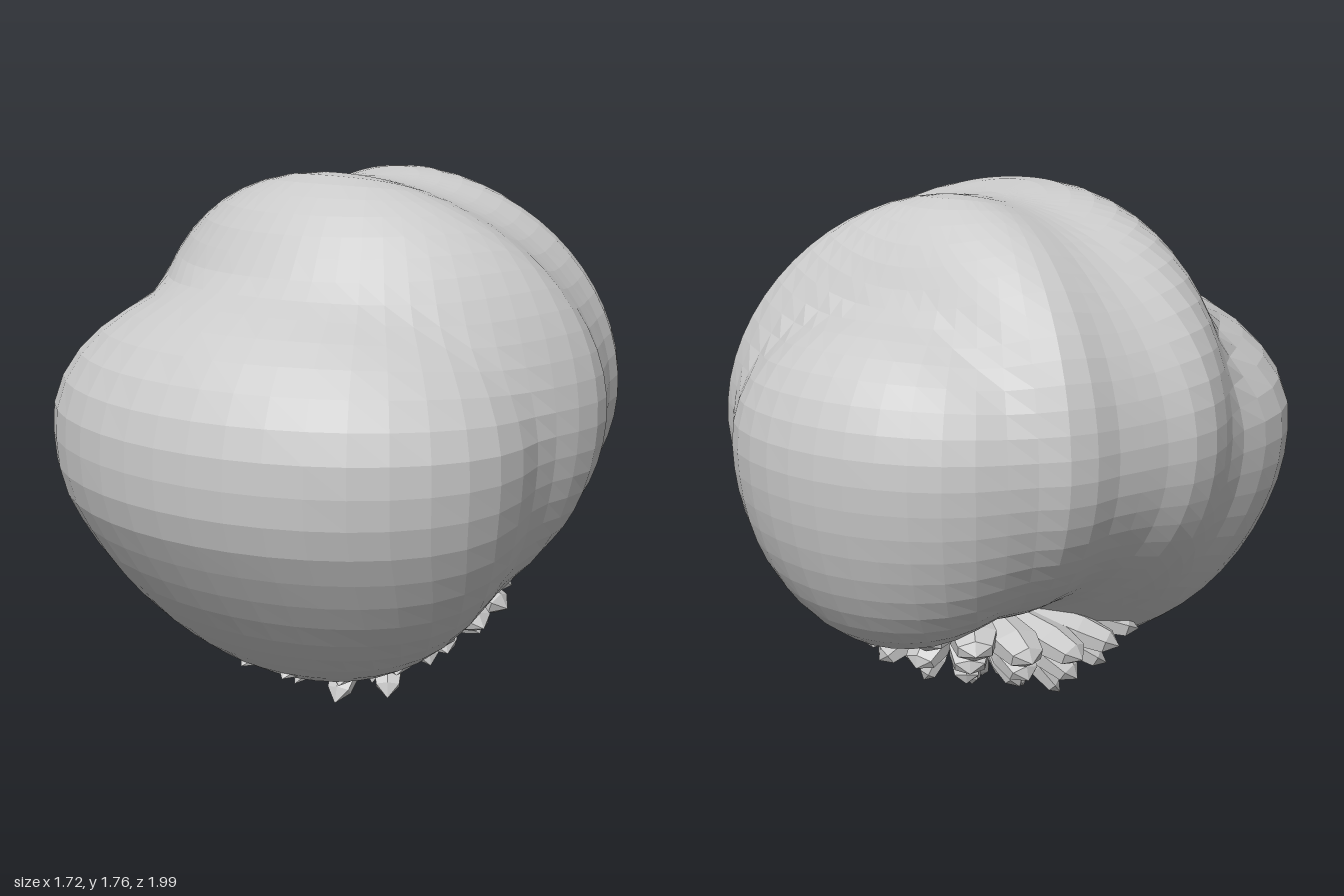
import * as THREE from 'three';

const grey = new THREE.MeshStandardMaterial({ color: 0xcacaca, flatShading: true });
grey.name = 'plain grey';

// Lobes: centre height, centre z, backward bend at the sides, radii (x, up, down, z)
const lobes = [
  { y: 0.98, z: 0.38, bend: 0.0, rx: 0.85, up: 0.49, down: 0.85, rz: 0.62 },    // front
  { y: 1.05, z: 0.16, bend: 0.26, rx: 0.86, up: 0.73, down: 0.78, rz: 0.48 },   // crown
  { y: 1.05, z: -0.09, bend: 0.22, rx: 0.74, up: 0.67, down: 0.62, rz: 0.36 },  // saddle
  { y: 1.05, z: -0.28, bend: 0.22, rx: 0.69, up: 0.72, down: 0.65, rz: 0.4 },   // rear crown
  { y: 1.03, z: -0.6, bend: 0.0, rx: 0.55, up: 0.42, down: 0.64, rz: 0.39 },    // back
];
const hub = new THREE.Vector3(0, 0.46, -0.19);

// Smooth union of the lobes, hollowed below by a shallow cone around the hub; positive inside
function field(p) {
  const k = 15;
  let sum = 0;
  for (const l of lobes) {
    const u = p.x / l.rx;
    const dy = p.y - l.y;
    const q = Math.hypot(u, dy / (dy > 0 ? l.up : l.down), (p.z - l.z + l.bend * Math.min(u * u, 1.5)) / l.rz);
    sum += Math.exp(k * (1 - q));
  }
  const underside = hub.y - 0.3 * Math.hypot(p.x, p.z - hub.z) - 0.12 * (p.z - hub.z);
  return Math.min(Math.log(sum) / k, p.y - underside);
}

// Sphere whose vertices are pushed out along rays to the lobed surface
function bodyGeometry() {
  const geo = new THREE.SphereGeometry(1, 56, 36);
  const pos = geo.attributes.position;
  const centre = new THREE.Vector3(0, 0.95, -0.1);
  const dir = new THREE.Vector3(), p = new THREE.Vector3();
  for (let i = 0; i < pos.count; i++) {
    dir.fromBufferAttribute(pos, i).normalize();
    let far = 1.5;
    while (far > 0.1 && field(p.copy(centre).addScaledVector(dir, far)) < 0) far -= 0.03;
    let near = far;
    far += 0.03;
    for (let n = 0; n < 12; n++) {
      const mid = (near + far) / 2;
      if (field(p.copy(centre).addScaledVector(dir, mid)) > 0) near = mid; else far = mid;
    }
    p.copy(centre).addScaledVector(dir, near);
    // draw the lower front in under the body
    if (p.z > 0 && p.y < 0.8) p.z *= 1 - 0.33 * (0.8 - p.y);
    pos.setXYZ(i, p.x, p.y, p.z);
  }
  geo.computeVertexNormals();
  return geo;
}

// Faceted leaf from root to tip
const leaf = new THREE.LatheGeometry(
  [[0, 0], [0.6, 0.35], [1, 0.74], [0.75, 0.92], [0, 1]].map(([x, y]) => new THREE.Vector2(x, y)), 6);

function petal(root, tip, width, thick) {
  const m = new THREE.Mesh(leaf, grey);
  m.name = 'petal';
  const y = tip.clone().sub(root);
  const length = y.length();
  y.normalize();
  const x = new THREE.Vector3().crossVectors(y, new THREE.Vector3(0, 1, 0)).normalize();
  const z = new THREE.Vector3().crossVectors(x, y);
  m.quaternion.setFromRotationMatrix(new THREE.Matrix4().makeBasis(x, y, z));
  m.position.copy(root);
  m.scale.set(width, length, thick);
  return m;
}

// Rings of petals spreading from the hub: count, tip radii, centre z, tip height, rise to the back
const rings = [
  { n: 6, rx: 0.1, rz: 0.13, z: -0.03, y: 0.0, rise: 0.08, w: 0.045 },
  { n: 10, rx: 0.28, rz: 0.3, z: -0.04, y: 0.0, rise: 0.14, w: 0.06 },
  { n: 14, rx: 0.42, rz: 0.44, z: -0.05, y: 0.13, rise: 0.1, w: 0.075 },
  { n: 18, rx: 0.5, rz: 0.56, z: -0.03, y: 0.19, rise: 0.16, w: 0.085 },
];

export function createModel() {
  const model = new THREE.Group();
  model.name = 'lobed form';

  const body = new THREE.Mesh(bodyGeometry(), grey);
  body.name = 'lobedBody';
  model.add(body);

  const ruffle = new THREE.Group();
  ruffle.name = 'ruffledUnderside';
  rings.forEach((r, ri) => {
    for (let i = 0; i < r.n; i++) {
      const a = ((i + (ri % 2) * 0.5) / r.n) * Math.PI * 2;
      const c = Math.cos(a);
      const wobble = 0.02 * (1 + Math.cos(3 * a + ri));
      const tip = new THREE.Vector3(r.rx * Math.sin(a), r.y + wobble + r.rise * (1 - c) / 2, r.z + r.rz * c);
      ruffle.add(petal(hub, tip, r.w, r.w * 0.6));
    }
  });
  model.add(ruffle);
  return model;
}
